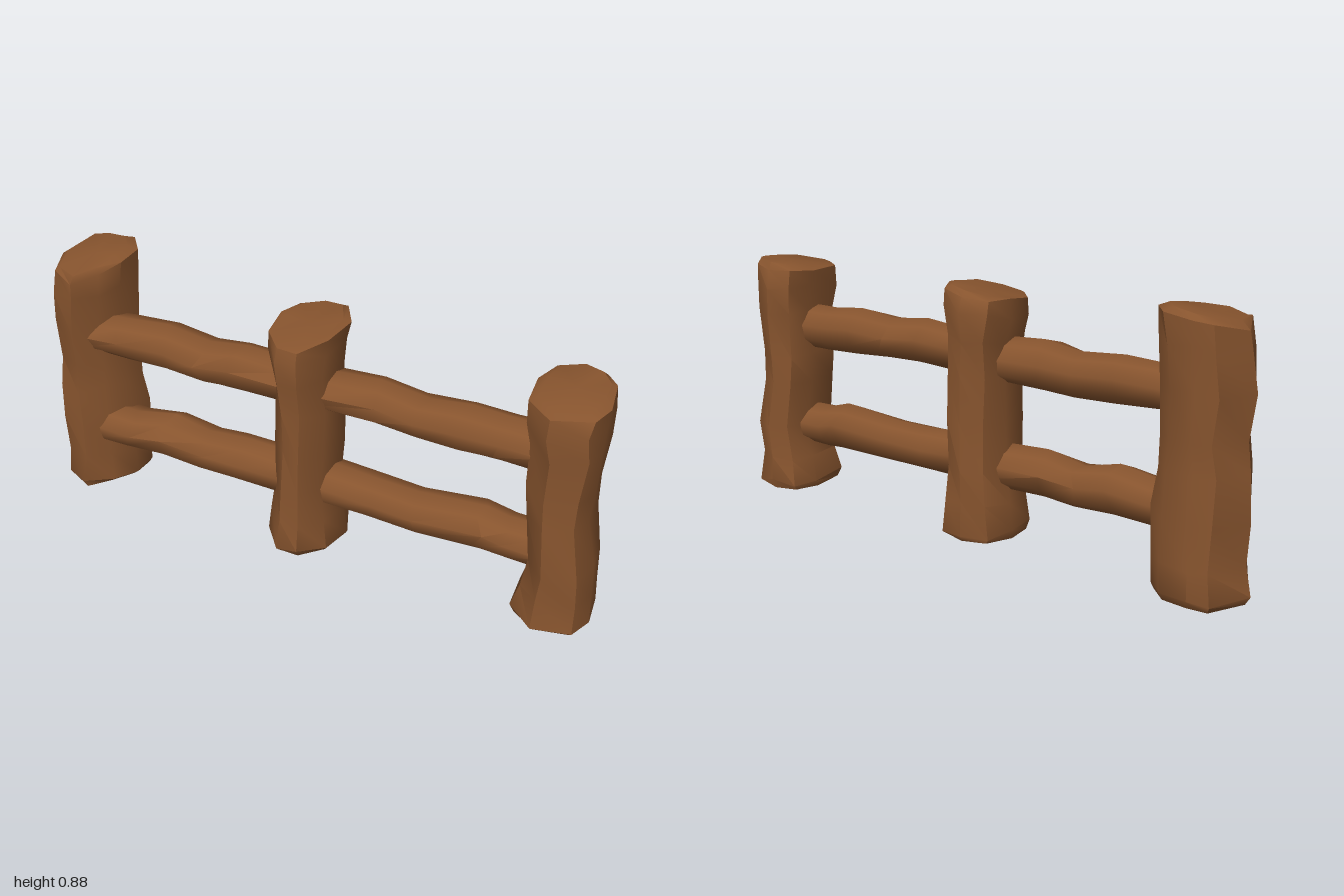
import * as THREE from 'three';
import { toCreasedNormals } from 'three/addons/utils/BufferGeometryUtils.js';

// small seeded generator for the hand-hewn unevenness
function seeded(seed) {
  let s = seed;
  return () => {
    s = (s * 16807) % 2147483647;
    return (s / 2147483647) * 2 - 1;
  };
}

// skin a list of equal-length rings and close both ends
function loft(rings, crease) {
  const n = rings[0].length;
  const points = rings.flat();
  const index = [];
  for (let i = 0; i < rings.length - 1; i++) {
    for (let j = 0; j < n; j++) {
      const k = (j + 1) % n;
      const a = i * n + j, b = i * n + k, c = a + n, d = b + n;
      index.push(a, c, d, a, d, b);
    }
  }
  const centre = (ring) => ring.reduce((s, p) => s.add(p), new THREE.Vector3()).divideScalar(n);
  const last = (rings.length - 1) * n;
  const first = points.length;
  points.push(centre(rings[0]), centre(rings[rings.length - 1]));
  for (let j = 0; j < n; j++) {
    const k = (j + 1) % n;
    index.push(first, j, k, first + 1, last + k, last + j);
  }
  const geometry = new THREE.BufferGeometry().setFromPoints(points);
  geometry.setIndex(index);
  return toCreasedNormals(geometry, crease);
}

// outline: [x, z] corners seen from above; rings: [y, min x, max x, z scale]; slope tilts the top
function postGeometry({ outline, rings, slope, seed }) {
  const rand = seeded(seed);
  const xs = outline.map((p) => p[0]);
  const lo = Math.min(...xs), hi = Math.max(...xs);
  const height = rings[rings.length - 1][0];
  const loops = rings.map(([y, x0, x1, sz], i) => outline.map(([x, z]) => {
    const u = (x - lo) / (hi - lo);
    const tilt = Math.pow(y / height, 4) * ((u - 0.5) * slope[0] + z * slope[1]);
    const inner = i > 0 && i < rings.length - 1;
    return new THREE.Vector3(
      x0 + u * (x1 - x0) + rand() * 0.005,
      y + tilt + (inner ? rand() * 0.012 : 0),
      z * sz + rand() * 0.006
    );
  }));
  return loft(loops, 0.75);
}

// stations: [x, bottom y, top y, z shift]
function railGeometry(stations, seed) {
  const rand = seeded(seed);
  const sides = 9;
  const loops = stations.map(([x, y0, y1, dz]) => {
    const ring = [];
    for (let j = 0; j < sides; j++) {
      const a = (j / sides) * Math.PI * 2;
      ring.push(new THREE.Vector3(
        x + rand() * 0.02,
        (y0 + y1) / 2 + Math.cos(a) * (y1 - y0) * 0.51 + rand() * 0.003,
        0.014 + dz - Math.sin(a) * 0.083 + rand() * 0.004
      ));
    }
    return ring;
  });
  return loft(loops, 0.9);
}

const POSTS = {
  rightPost: {
    outline: [[-1, -0.04], [-0.94, -0.165], [-0.87, -0.175], [-0.77, -0.165], [-0.7, -0.1],
      [-0.71, -0.01], [-0.76, 0.07], [-0.83, 0.14], [-0.93, 0.1]],
    rings: [[0.008, -0.98, -0.71, 0.93], [0.03, -1, -0.695, 1.02], [0.12, -0.985, -0.7, 0.97],
      [0.27, -0.985, -0.695, 0.98], [0.4, -0.985, -0.705, 0.93], [0.5, -0.965, -0.71, 0.9],
      [0.65, -0.985, -0.71, 0.95], [0.77, -0.97, -0.7, 0.96], [0.845, -0.96, -0.69, 0.98],
      [0.862, -0.93, -0.72, 0.85]],
    slope: [0.03, -0.11], seed: 11,
  },
  middlePost: {
    outline: [[-0.13, -0.03], [-0.1, -0.12], [-0.01, -0.15], [0.07, -0.13], [0.12, -0.03],
      [0.1, 0.09], [0.03, 0.165], [-0.05, 0.16], [-0.12, 0.08]],
    rings: [[0.008, -0.125, 0.11, 0.95], [0.03, -0.135, 0.12, 1.03], [0.13, -0.12, 0.11, 0.97],
      [0.25, -0.105, 0.095, 0.98], [0.4, -0.1, 0.105, 0.94], [0.55, -0.1, 0.1, 0.92],
      [0.67, -0.11, 0.1, 0.97], [0.76, -0.125, 0.11, 1], [0.812, -0.13, 0.12, 0.95],
      [0.822, -0.1, 0.095, 0.82]],
    slope: [0.035, -0.1], seed: 29,
  },
  leftPost: {
    outline: [[0.73, -0.04], [0.76, -0.12], [0.84, -0.15], [0.92, -0.12], [0.97, -0.06],
      [0.98, 0.05], [0.95, 0.13], [0.83, 0.165], [0.745, 0.1]],
    rings: [[0.008, 0.745, 0.98, 0.94], [0.03, 0.735, 0.995, 1.03], [0.12, 0.755, 0.985, 0.96],
      [0.23, 0.775, 0.985, 0.99], [0.4, 0.755, 0.955, 0.93], [0.5, 0.745, 0.96, 0.91],
      [0.65, 0.75, 0.97, 0.95], [0.74, 0.735, 0.97, 1.01], [0.805, 0.73, 0.975, 0.94],
      [0.82, 0.755, 0.95, 0.8]],
    slope: [0.015, -0.08], seed: 53,
  },
};

const RAILS = {
  upperRightRail: [[-0.83, 0.53, 0.655, 0], [-0.68, 0.535, 0.675, 0.005], [-0.52, 0.53, 0.68, -0.002],
    [-0.37, 0.52, 0.665, 0.003], [-0.24, 0.525, 0.685, 0], [-0.04, 0.53, 0.672, 0]],
  lowerRightRail: [[-0.83, 0.165, 0.312, 0], [-0.66, 0.168, 0.307, 0.003], [-0.52, 0.17, 0.33, 0],
    [-0.38, 0.165, 0.303, -0.003], [-0.25, 0.17, 0.322, 0.003], [-0.04, 0.165, 0.312, 0]],
  upperLeftRail: [[0.04, 0.535, 0.668, -0.003], [0.25, 0.54, 0.685, 0], [0.4, 0.53, 0.668, 0.006],
    [0.53, 0.525, 0.68, 0.002], [0.66, 0.522, 0.672, -0.003], [0.82, 0.52, 0.668, 0]],
  lowerLeftRail: [[0.04, 0.17, 0.32, -0.003], [0.24, 0.17, 0.31, 0], [0.4, 0.165, 0.306, 0.006],
    [0.62, 0.168, 0.326, 0], [0.7, 0.165, 0.305, -0.003], [0.82, 0.165, 0.302, 0]],
};

export function createModel() {
  const group = new THREE.Group();
  group.name = 'woodenFence';
  const wood = new THREE.MeshStandardMaterial({ color: 0x87542e });
  wood.name = 'brown wood';

  const add = (name, geometry) => {
    const mesh = new THREE.Mesh(geometry, wood);
    mesh.name = name;
    group.add(mesh);
  };

  // upright posts
  for (const [name, post] of Object.entries(POSTS)) add(name, postGeometry(post));
  // horizontal rails, ends buried in the posts
  Object.entries(RAILS).forEach(([name, stations], i) => add(name, railGeometry(stations, 101 + i * 37)));

  return group;
}
